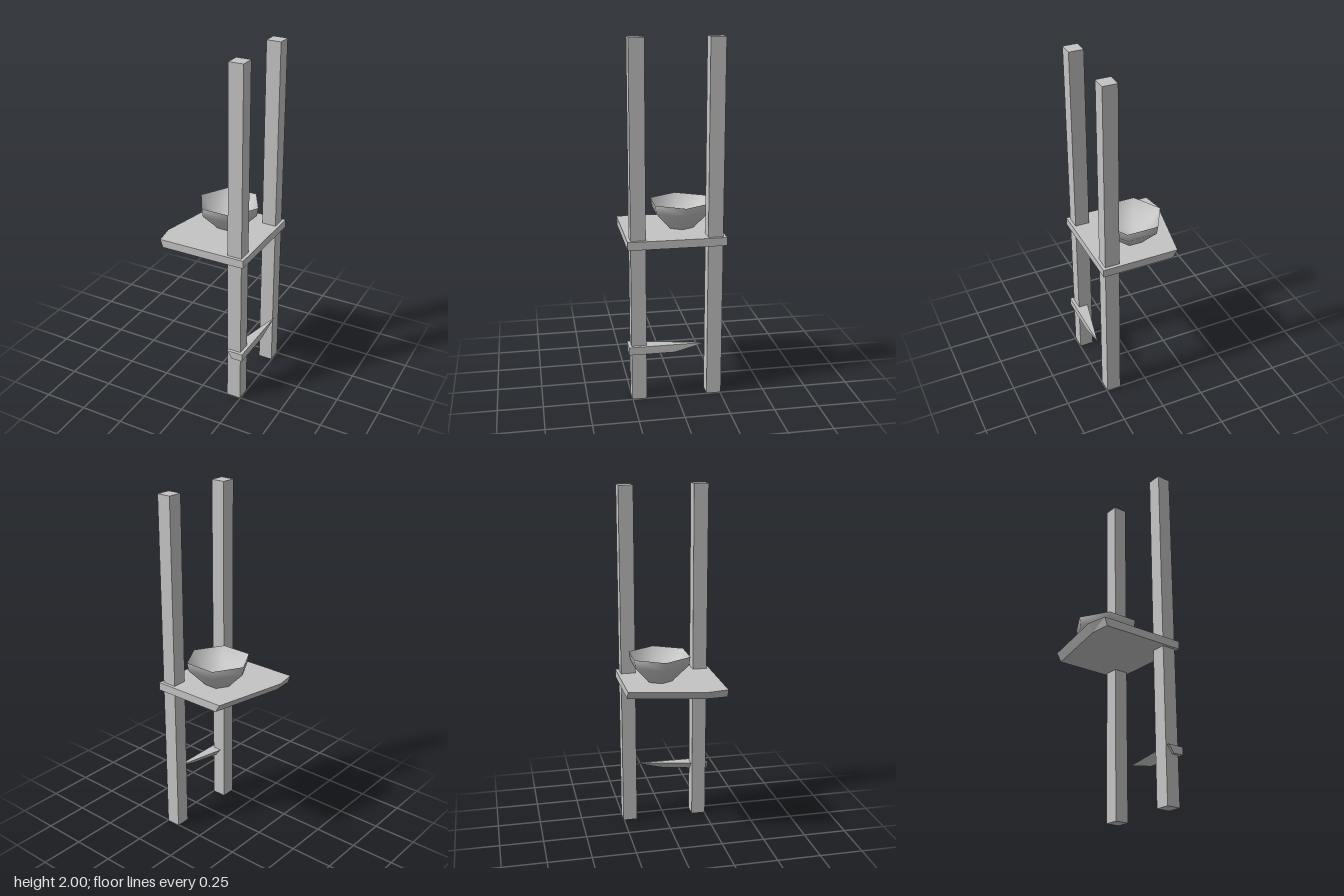
import * as THREE from 'three';

// Convex slab between a top and a bottom outline of [x, z] corners,
// listed counter-clockwise as seen from above.
function slab(top, bottom, yTop, yBottom) {
  const t = top.map(([x, z]) => [x, yTop, z]);
  const b = bottom.map(([x, z]) => [x, yBottom, z]);
  const pos = [];
  const tri = (...corners) => corners.forEach((c) => pos.push(...c));
  for (let i = 1; i < t.length - 1; i++) {
    tri(t[0], t[i], t[i + 1]);
    tri(b[0], b[i + 1], b[i]);
  }
  t.forEach((_, i) => {
    const j = (i + 1) % t.length;
    tri(b[i], b[j], t[j]);
    tri(b[i], t[j], t[i]);
  });
  const geo = new THREE.BufferGeometry();
  geo.setAttribute('position', new THREE.Float32BufferAttribute(pos, 3));
  geo.computeVertexNormals();
  return geo;
}

// Six-sided smooth surface of revolution with a corner on the x axis.
function hexLathe(profile) {
  const points = profile.map(([r, y]) => new THREE.Vector2(r, y));
  return new THREE.LatheGeometry(points, 6, Math.PI / 2);
}

export function createModel() {
  const model = new THREE.Group();
  model.name = 'postShelf';

  const grey = new THREE.MeshStandardMaterial({ color: 0xc4c4c4 });
  grey.name = 'grey';

  const add = (name, geometry, parent = model) => {
    const mesh = new THREE.Mesh(geometry, grey);
    mesh.name = name;
    parent.add(mesh);
    return mesh;
  };

  // Two square posts
  for (const [name, z] of [['frontPost', 0.212], ['backPost', -0.213]]) {
    add(name, new THREE.BoxGeometry(0.083, 2, 0.083)).position.set(0.2065, 1, z);
  }

  // Broken shelf board with an undercut outer edge
  add('shelf', slab(
    [[-0.178, -0.273], [-0.268, 0.153], [-0.248, 0.271], [0.266, 0.271], [0.266, -0.273]],
    [[-0.15, -0.273], [-0.24, 0.155], [-0.232, 0.271], [0.266, 0.271], [0.266, -0.273]],
    0.93, 0.884,
  ));

  // Splintered remnant of the lower shelf
  add('lowerShelfRemnant', slab(
    [[0.17, 0.271], [0.266, 0.271], [0.266, -0.16]],
    [[0.203, 0.271], [0.266, 0.271], [0.266, 0.015]],
    0.323, 0.278,
  ));

  // Hexagonal bowl: outside and hollow inside
  const bowl = new THREE.Group();
  bowl.name = 'bowl';
  bowl.position.set(0.009, 0.93, -0.062);
  model.add(bowl);
  add('bowlOutside', hexLathe([[0.076, 0], [0.174, 0.1], [0.182, 0.15]]), bowl);
  add('bowlInside', hexLathe([[0.182, 0.15], [0.14, 0.09], [0.07, 0.04], [0, 0.03]]), bowl);

  return model;
}
